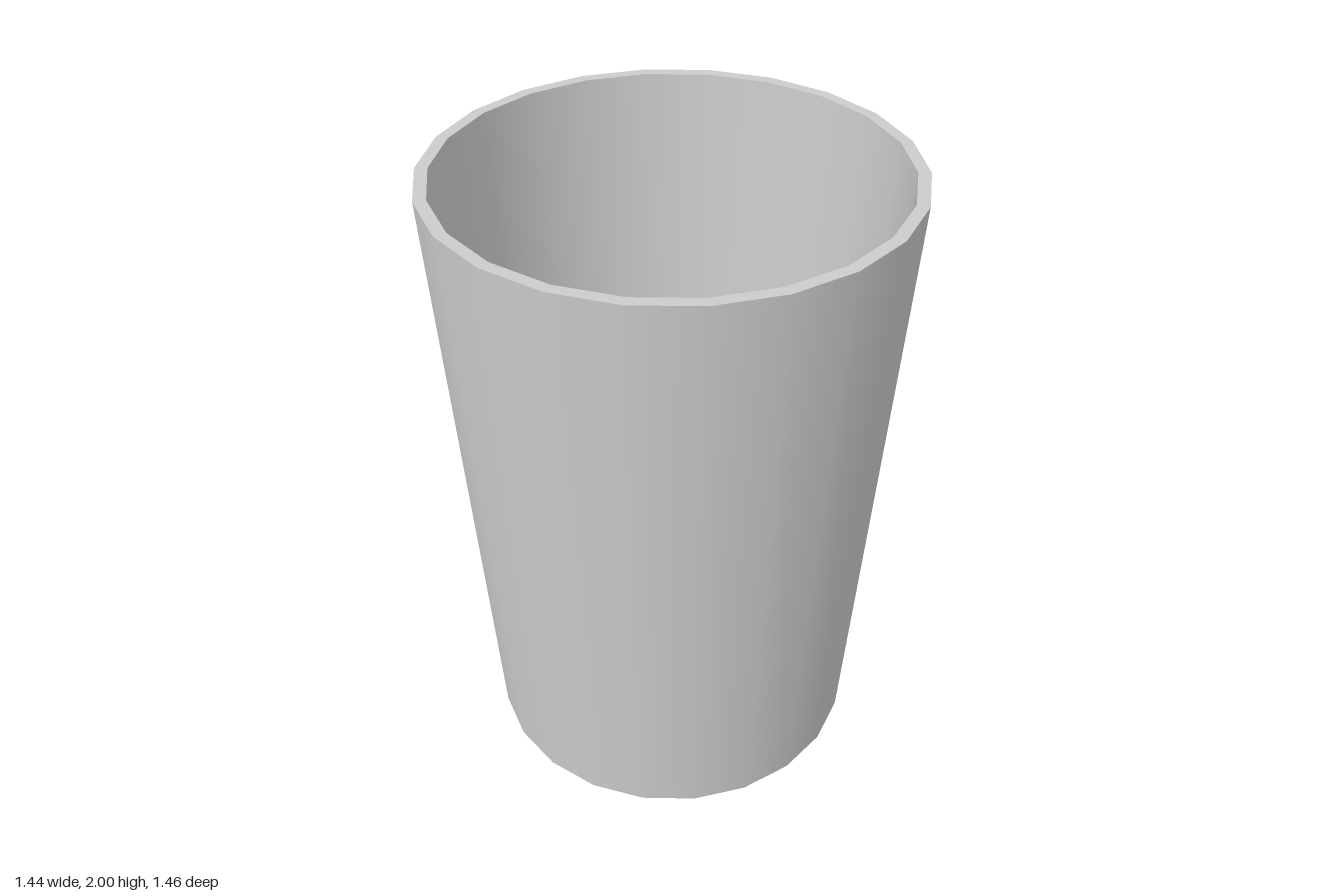
import * as THREE from 'three';

const SIDES = 22;
const HEIGHT = 2;
const FLOOR = 0.07;

export function createModel() {
  const cup = new THREE.Group();
  cup.name = 'cup';
  const material = new THREE.MeshStandardMaterial({ color: 0xcccccc });

  // Each surface is its own lathe: smooth around the cup, sharp at the rims
  function addSurface(name, from, to) {
    const profile = [new THREE.Vector2(...from), new THREE.Vector2(...to)];
    const mesh = new THREE.Mesh(new THREE.LatheGeometry(profile, SIDES), material);
    mesh.name = name;
    cup.add(mesh);
  }

  // Profile corners as [radius, height], from the base up and back down inside
  const centreBase = [0, 0];
  const outerBase = [0.613, 0];
  const outerRim = [0.728, HEIGHT];
  const innerRim = [0.69, HEIGHT];
  const innerFloor = [0.581, FLOOR];
  const centreFloor = [0, FLOOR];

  addSurface('base', centreBase, outerBase);
  addSurface('outerWall', outerBase, outerRim);
  addSurface('rim', outerRim, innerRim);
  addSurface('innerWall', innerRim, innerFloor);
  addSurface('innerFloor', innerFloor, centreFloor);

  return cup;
}
